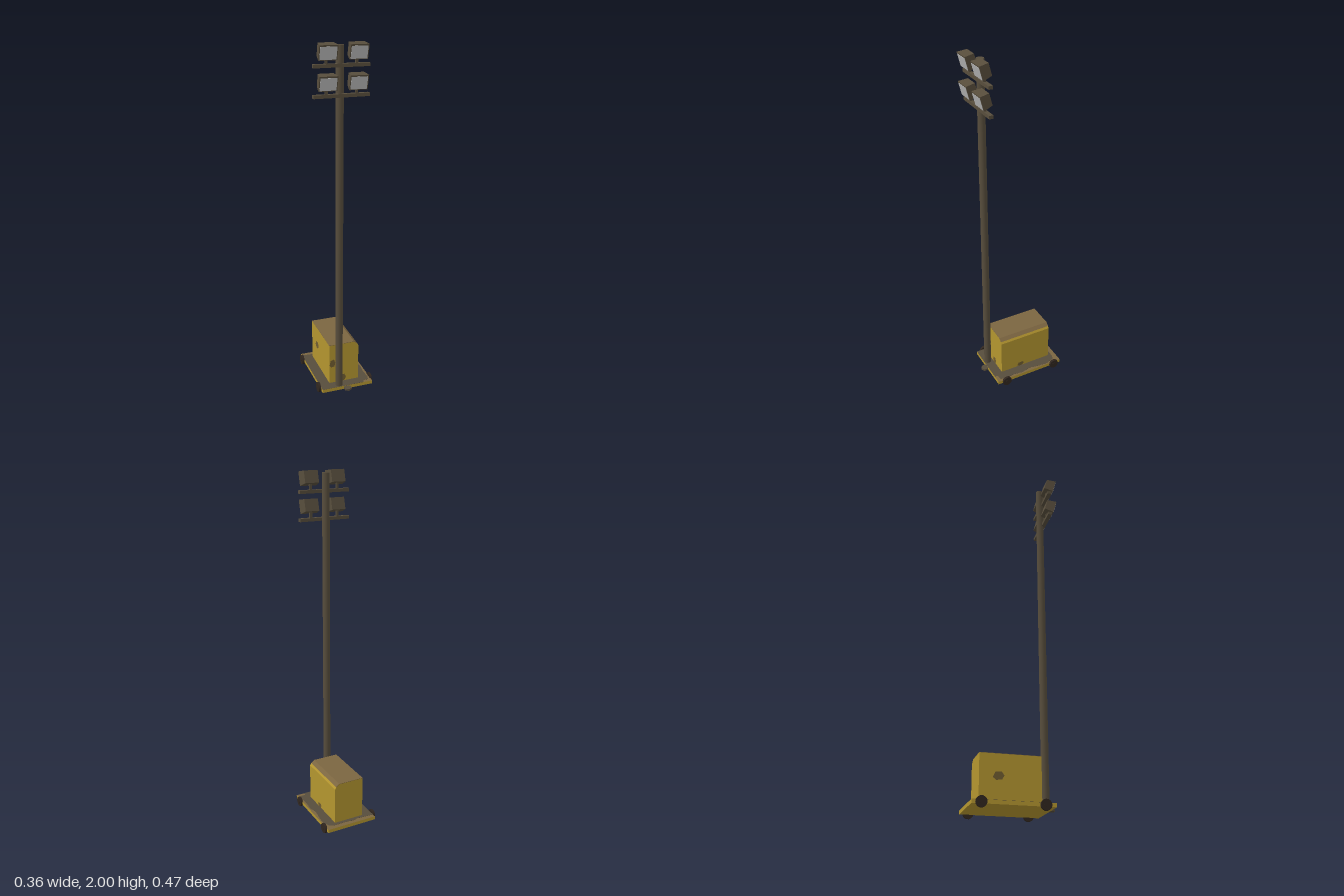
import * as THREE from 'three';

const material = (name, color, side = THREE.FrontSide) => {
  const m = new THREE.MeshStandardMaterial({ color, side });
  m.name = name;
  return m;
};

export function createModel() {
  const yellow = material('yellow paint', 0xb3952f);
  const brown = material('weathered top', 0x7b6540);
  const dark = material('dark metal', 0x574d3c);
  const black = material('tyre', 0x30261f);
  const lens = material('lamp glass', 0xb9b9b9);
  const wornDouble = material('worn patch', 0x6f5c30, THREE.DoubleSide);

  const model = new THREE.Group();
  model.name = 'lightTower';
  const add = (name, geometry, mat, x = 0, y = 0, z = 0, parent = model) => {
    const mesh = new THREE.Mesh(geometry, mat);
    mesh.name = name;
    mesh.position.set(x, y, z);
    parent.add(mesh);
    return mesh;
  };
  const box = (w, h, d) => new THREE.BoxGeometry(w, h, d);
  const shapeOf = (points) => new THREE.Shape(points.map(([x, y]) => new THREE.Vector2(x, y)));

  // Trailer deck: yellow slab, brown upper face, ragged dark covering
  const Y = yellow;
  add('deck', box(0.308, 0.02, 0.43), [Y, Y, brown, Y, Y, Y], 0.014, 0.032, -0.023);
  const cover = shapeOf([
    [-0.14, -0.192], [0.115, -0.192], [0.12, -0.172], [0.15, -0.171], [0.158, -0.14],
    [0.153, -0.08], [0.16, -0.02], [0.146, 0.035], [0.156, 0.09], [0.16, 0.15],
    [0.143, 0.2], [0.12, 0.212], [0.03, 0.21], [0, 0.217], [-0.04, 0.209], [-0.14, 0.217],
  ]);
  const coverGeometry = new THREE.ExtrudeGeometry(cover, { depth: 0.001, bevelEnabled: false });
  add('deckCovering', coverGeometry.rotateX(-Math.PI / 2), dark, 0, 0.042, 0);

  // Wheels
  for (const x of [-0.147, 0.171]) {
    for (const z of [-0.191, 0.136]) {
      const wheel = new THREE.CylinderGeometry(0.029, 0.029, 0.014, 14).rotateZ(Math.PI / 2);
      add('wheel', wheel, black, x, 0.03, z);
      const hub = new THREE.CylinderGeometry(0.012, 0.012, 0.017, 10).rotateZ(Math.PI / 2);
      add('wheelHub', hub, black, x, 0.03, z);
    }
  }

  // Generator cabinet with one chamfered upper edge
  const cabinet = shapeOf([
    [-0.08, 0.042], [0.1, 0.042], [0.1, 0.262], [0.092, 0.274], [0.072, 0.289], [-0.08, 0.289],
  ]);
  add('cabinet', new THREE.ExtrudeGeometry(cabinet, { depth: 0.327, bevelEnabled: false }),
    yellow, 0, 0, -0.191);
  const lid = shapeOf([
    [-0.08, 0.289], [0.072, 0.289], [0.092, 0.274], [0.093, 0.275], [0.0725, 0.291], [-0.08, 0.291],
  ]);
  add('cabinetLid', new THREE.ExtrudeGeometry(lid, { depth: 0.327, bevelEnabled: false }),
    brown, 0, 0, -0.191);

  // Worn spots on the cabinet walls
  const patch = (w, h, x, y, z, turn) => {
    const spot = shapeOf([
      [-0.5, -0.2], [-0.2, -0.5], [0.3, -0.4], [0.5, 0.05], [0.25, 0.5], [-0.3, 0.4],
    ]);
    const mesh = add('wornPatch', new THREE.ShapeGeometry(spot).scale(w, h, 1), wornDouble, x, y, z);
    mesh.rotation.y = turn;
  };
  patch(0.036, 0.05, -0.061, 0.17, 0.137, 0);
  patch(0.04, 0.045, 0.003, 0.065, 0.137, 0);
  patch(0.045, 0.028, 0.101, 0.057, 0.005, Math.PI / 2);
  patch(0.06, 0.045, -0.081, 0.176, -0.09, -Math.PI / 2);

  // Tow coupling
  add('towBar', box(0.02, 0.012, 0.04), dark, 0.008, 0.033, 0.188);
  add('towCoupling', new THREE.CylinderGeometry(0.023, 0.023, 0.012, 6), dark, 0.009, 0.034, 0.208);

  // Mast
  add('mast', new THREE.CylinderGeometry(0.021, 0.021, 1.945, 16), dark, -0.032, 1.0125, 0.168);

  // Floodlight housing: box narrowing towards the back
  const housing = box(0.098, 0.078, 0.054);
  const p = housing.attributes.position;
  for (let i = 0; i < p.count; i++) {
    if (p.getZ(i) < 0) p.setXY(i, p.getX(i) * 0.84, p.getY(i) * 0.86);
  }
  housing.computeVertexNormals();

  // Two rows of crossbar, posts and downward-tilted floodlights
  for (const y of [1.886, 1.736]) {
    add('crossbar', box(0.3, 0.018, 0.023), dark, -0.03, y, 0.186);
    for (const x of [-0.111, 0.051]) {
      add('lampPost', box(0.014, 0.045, 0.012), dark, x, y + 0.028, 0.188);
      const lamp = new THREE.Group();
      lamp.name = 'floodlight';
      lamp.position.set(x, y + 0.073, 0.199);
      lamp.rotation.x = 0.26;
      add('lampHousing', housing, dark, 0, 0, 0, lamp);
      add('lampGlass', box(0.088, 0.066, 0.002), lens, 0, -0.002, 0.0275, lamp);
      model.add(lamp);
    }
  }
  return model;
}
